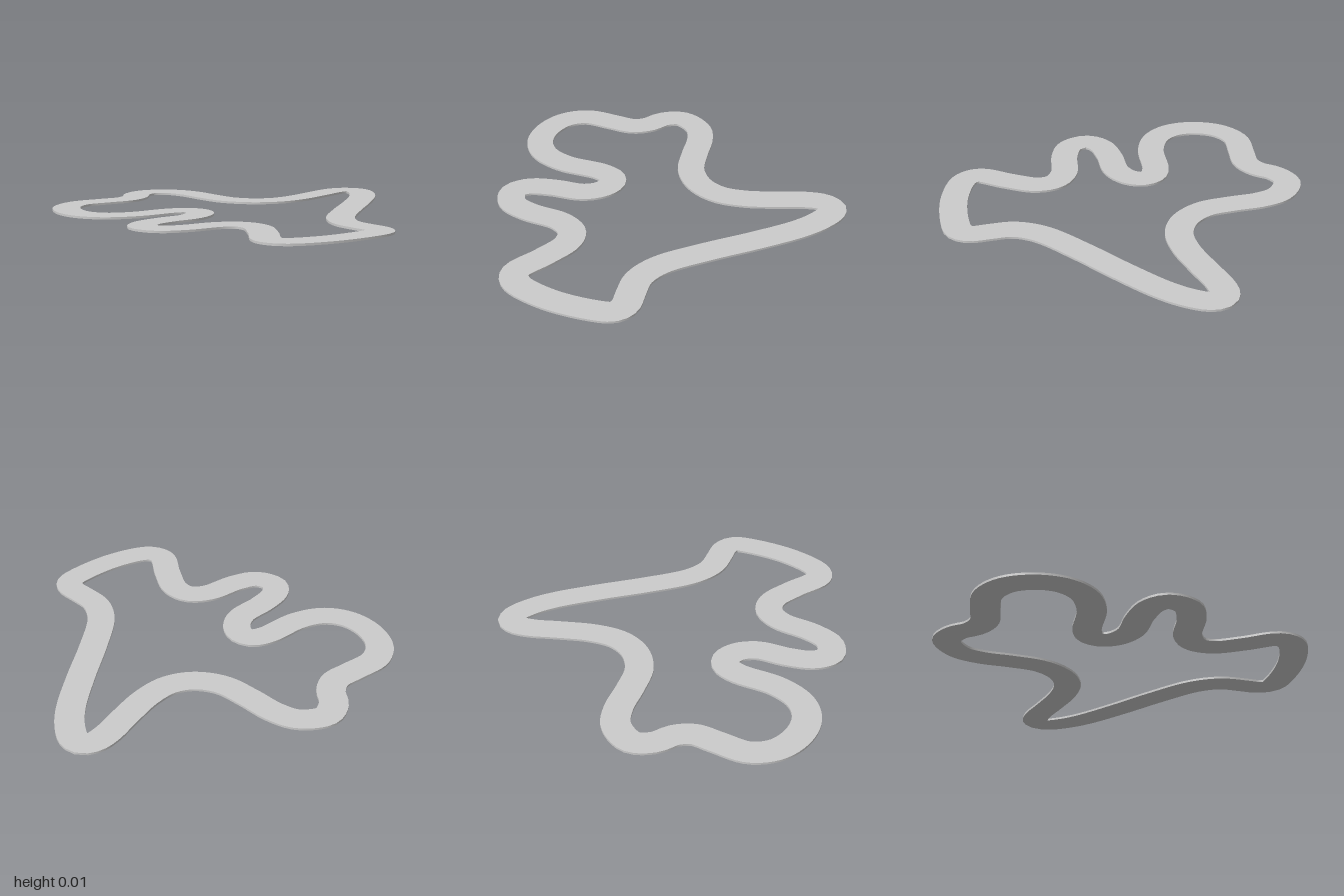
import * as THREE from 'three';
import { toCreasedNormals } from 'three/addons/utils/BufferGeometryUtils.js';

const HALF_WIDTH = 0.075, THICKNESS = 0.012, STEPS = 260;

// Centre line of the circuit as [x, z], clockwise seen from above
const CENTRE_LINE = [
  [-0.255, -0.922], [-0.12, -0.868], [-0.053, -0.758], [-0.01, -0.6], [0.047, -0.44],
  [0.153, -0.335], [0.285, -0.297], [0.43, -0.325], [0.613, -0.41], [0.74, -0.475],
  [0.825, -0.497], [0.88, -0.478], [0.898, -0.425], [0.868, -0.32], [0.8, -0.2],
  [0.64, 0], [0.465, 0.2], [0.308, 0.4], [0.263, 0.505], [0.253, 0.585],
  [0.275, 0.69], [0.296, 0.79], [0.27, 0.85], [0.17, 0.888], [-0.075, 0.917],
  [-0.275, 0.88], [-0.321, 0.81], [-0.26, 0.635], [-0.217, 0.475], [-0.25, 0.378],
  [-0.35, 0.33], [-0.545, 0.335], [-0.67, 0.305], [-0.724, 0.21], [-0.676, 0.13],
  [-0.55, 0.075], [-0.385, 0.035], [-0.305, -0.035], [-0.284, -0.113], [-0.317, -0.17],
  [-0.4, -0.19], [-0.625, -0.167], [-0.78, -0.205], [-0.872, -0.3], [-0.903, -0.436],
  [-0.867, -0.58], [-0.766, -0.672], [-0.6, -0.695], [-0.475, -0.71], [-0.4, -0.769],
  [-0.348, -0.864],
];

// Sweep a flat rectangular section round the closed centre line
function roadGeometry() {
  const curve = new THREE.CatmullRomCurve3(
    CENTRE_LINE.map(([x, z]) => new THREE.Vector3(x, 0, z)), true, 'centripetal');
  curve.arcLengthDivisions = 1000;
  // side (outer +, inner -) and height of the section corners
  const section = [[1, THICKNESS], [-1, THICKNESS], [-1, 0], [1, 0]];
  const positions = [], index = [];
  for (let i = 0; i < STEPS; i++) {
    const p = curve.getPointAt(i / STEPS), t = curve.getTangentAt(i / STEPS);
    for (const [side, y] of section) {
      positions.push(p.x + t.z * side * HALF_WIDTH, y, p.z - t.x * side * HALF_WIDTH);
    }
    const here = i * 4, next = ((i + 1) % STEPS) * 4;
    for (let j = 0; j < 4; j++) {
      const k = (j + 1) % 4;
      index.push(here + j, here + k, next + k, here + j, next + k, next + j);
    }
  }
  const geometry = new THREE.BufferGeometry();
  geometry.setAttribute('position', new THREE.Float32BufferAttribute(positions, 3));
  geometry.setIndex(index);
  return toCreasedNormals(geometry, Math.PI / 5);
}

export function createModel() {
  const model = new THREE.Group();
  model.name = 'raceTrack';
  const road = new THREE.Mesh(roadGeometry(),
    new THREE.MeshStandardMaterial({ color: 0xcccccc }));
  road.name = 'roadLoop';
  model.add(road);
  return model;
}
